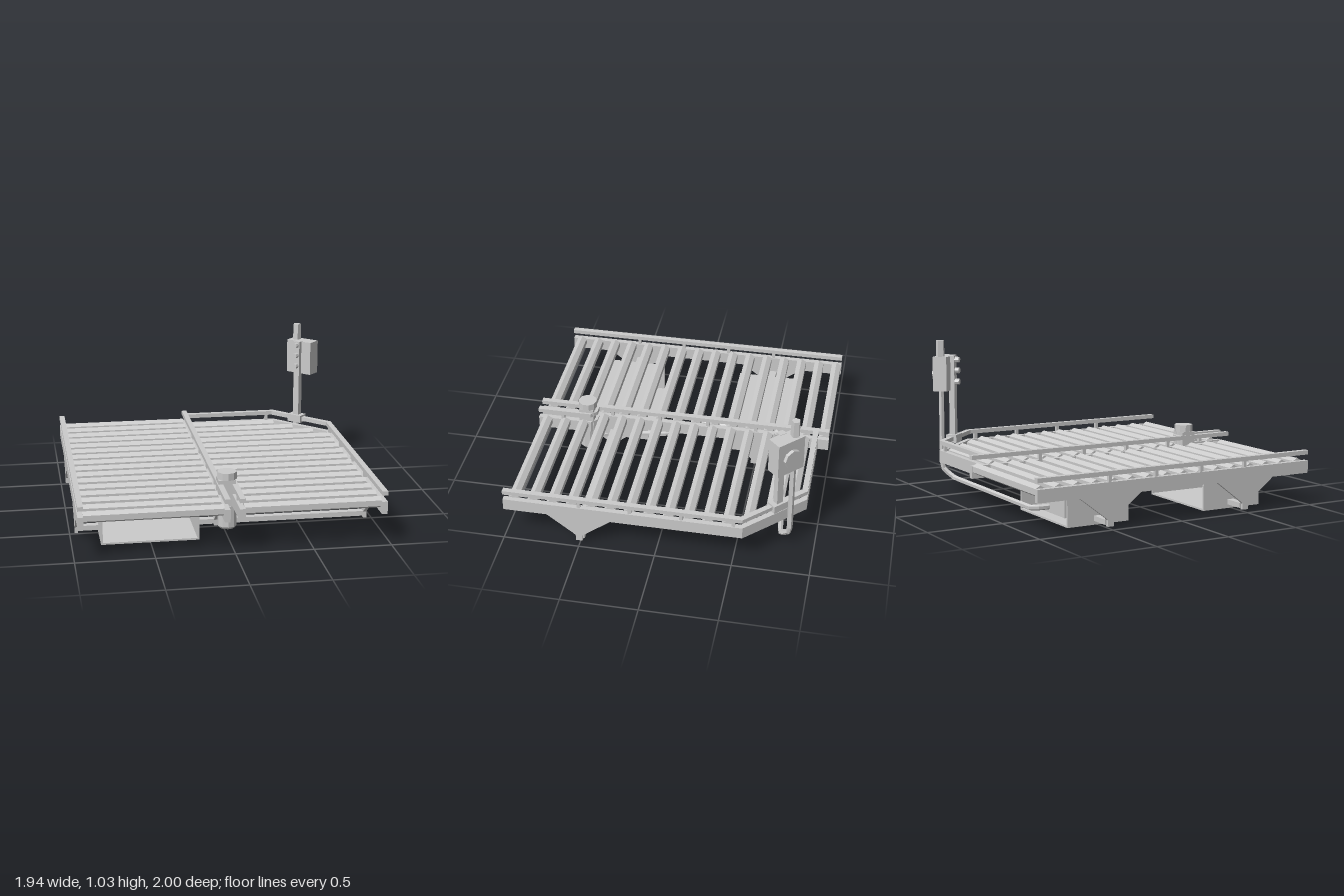
import * as THREE from 'three';

const grey = new THREE.MeshStandardMaterial({ color: 0xcccccc, flatShading: true, side: THREE.DoubleSide });

function add(parent, name, geometry, x = 0, y = 0, z = 0) {
  const mesh = new THREE.Mesh(geometry, grey);
  mesh.name = name;
  mesh.position.set(x, y, z);
  parent.add(mesh);
  return mesh;
}

// Box given by its limits on each axis
function block(parent, name, [x0, x1], [y0, y1], [z0, z1]) {
  return add(parent, name, new THREE.BoxGeometry(x1 - x0, y1 - y0, z1 - z0),
    (x0 + x1) / 2, (y0 + y1) / 2, (z0 + z1) / 2);
}

// Bar of constant width with mitred corners, following [x, z] points
function pathBar(parent, name, points, width, y0, y1) {
  const p = points.map(([x, z]) => new THREE.Vector2(x, -z));
  const left = [], right = [];
  p.forEach((c, i) => {
    const before = i > 0 ? c.clone().sub(p[i - 1]).normalize() : null;
    const after = i < p.length - 1 ? p[i + 1].clone().sub(c).normalize() : null;
    const a = before || after, b = after || before;
    const mitre = new THREE.Vector2(-a.y - b.y, a.x + b.x).normalize();
    const reach = width / 2 / (mitre.x * -a.y + mitre.y * a.x);
    left.push(c.clone().addScaledVector(mitre, reach));
    right.unshift(c.clone().addScaledVector(mitre, -reach));
  });
  const geo = new THREE.ExtrudeGeometry(new THREE.Shape([...left, ...right]),
    { depth: y1 - y0, bevelEnabled: false });
  geo.rotateX(-Math.PI / 2);
  add(parent, name, geo, 0, y0, 0);
}

function cable(parent, name, points, radius) {
  const curve = new THREE.CatmullRomCurve3(points.map(p => new THREE.Vector3(...p)), false, 'catmullrom', 0.1);
  add(parent, name, new THREE.TubeGeometry(curve, 40, radius, 6, false));
}

export function createModel() {
  const model = new THREE.Group();
  model.name = 'rollerPlatform';

  // Frame rails with a raised guide bar above each
  const rails = {
    right: [[-0.957, -1], [-0.957, 1]],
    centre: [[-0.05, -1], [-0.05, 1]],
    left: [[-0.035, -0.91], [0.602, -0.91], [0.948, -0.553], [0.948, 1]],
    inner: [[-0.05, 0.61], [0.015, 0.61], [0.045, 0.64], [0.045, 1]],
  };
  for (const [side, path] of Object.entries(rails)) {
    pathBar(model, side + 'Rail', path, 0.036, 0.21, 0.292);
    pathBar(model, side + 'GuideBar', path, 0.036, 0.332, 0.36);
  }

  // Small posts carrying the guide bars
  const posts = [[0.555, -0.908], [0.045, 0.83]];
  for (const x of [-0.957, -0.05, 0.948]) for (const z of [-0.5, -0.167, 0.167, 0.5]) posts.push([x, z]);
  for (const [x, z] of posts)
    block(model, 'guidePost', [x - 0.011, x + 0.011], [0.28, 0.34], [z - 0.011, z + 0.011]);

  // Hexagonal rollers, shortened by the cut corner and by the drive unit
  const rollers = new THREE.Group();
  rollers.name = 'rollers';
  model.add(rollers);
  function roller(x0, x1, z) {
    const geo = new THREE.CylinderGeometry(0.0375, 0.0375, x1 - x0, 6);
    geo.rotateZ(Math.PI / 2);
    geo.rotateX(Math.PI / 2);
    add(rollers, 'roller', geo, (x0 + x1) / 2, 0.272, z);
  }
  const cutEnds = { 14: 0.595, 13: 0.712, 12: 0.837 };
  for (let i = 0; i < 16; i++) {
    const z = 0.937 - i * 0.1267;
    roller(-0.942, -0.065, z);
    if (i < 15) roller(i < 3 ? 0.06 : -0.035, cutEnds[i] || 0.935, z);
  }

  // Tapered support plates with feet
  const half = [[0.022, 0.015], [0.022, 0.055], [0.035, 0.07], [0.22, 0.212]];
  const outline = [...half, ...half.map(([u, v]) => [-u, v]).reverse()];
  const plate = new THREE.ExtrudeGeometry(new THREE.Shape(outline.map(p => new THREE.Vector2(...p))),
    { depth: 0.022, bevelEnabled: false });
  plate.translate(0, 0, -0.011);
  plate.rotateY(Math.PI / 2);
  for (const [x, z] of [[-0.957, 0.505], [-0.957, -0.495], [-0.05, 0.505], [-0.05, -0.495], [0.948, 0.505]])
    add(model, 'supportPlate', plate, x, 0, z);

  // Cross bars between the support plates
  for (const y of [0.025, 0.14]) {
    for (const z of [0.495, -0.505]) {
      block(model, 'crossBar', [-0.95, -0.812], [y, y + 0.033], [z - 0.023, z + 0.023]);
      block(model, 'crossBar', [-0.19, -0.05], [y, y + 0.033], [z - 0.023, z + 0.023]);
    }
    block(model, 'crossBar', [-0.05, 0.945], [y, y + 0.033], [0.472, 0.518]);
  }

  // Open rectangular sleeves under one half
  const sleeve = new THREE.Shape([[-0.815, 0], [-0.187, 0], [-0.187, 0.217], [-0.815, 0.217]]
    .map(p => new THREE.Vector2(...p)));
  sleeve.holes.push(new THREE.Path([[-0.803, 0.012], [-0.803, 0.205], [-0.199, 0.205], [-0.199, 0.012]]
    .map(p => new THREE.Vector2(...p))));
  const sleeveGeo = new THREE.ExtrudeGeometry(sleeve, { depth: 0.437, bevelEnabled: false });
  for (const z of [0.286, -0.714]) add(model, 'liftingSleeve', sleeveGeo, 0, 0, z);

  // Junction box inside the rear sleeve
  block(model, 'junctionBox', [-0.61, -0.24], [0.012, 0.157], [-0.62, -0.36]);
  block(model, 'junctionLid', [-0.59, -0.27], [0.04, 0.138], [-0.36, -0.345]);

  // Drive unit at the front of the centre rail
  const profile = [[0, 0.055], [0.05, 0.055], [0.062, 0.07], [0.062, 0.21], [0.052, 0.21],
    [0.052, 0.385], [0.063, 0.385], [0.063, 0.432], [0, 0.432]].map(p => new THREE.Vector2(...p));
  add(model, 'driveUnit', new THREE.LatheGeometry(profile, 10), 0, 0, 0.663);
  block(model, 'driveMount', [-0.062, 0.05], [0.21, 0.385], [0.615, 0.715]);

  // Control stand on the cut corner; local +z points outward
  const stand = new THREE.Group();
  stand.name = 'controlStand';
  stand.position.set(0.757, 0, -0.755);
  stand.rotation.y = Math.PI * 0.75;
  model.add(stand);
  block(stand, 'standFoot', [-0.055, 0.055], [0.318, 0.372], [-0.04, 0.035]);
  block(stand, 'standPost', [-0.023, 0.023], [0.36, 0.92], [-0.02, 0.02]);
  block(stand, 'controlBox', [-0.1, 0.1], [0.68, 0.918], [0.008, 0.108]);
  const knob = new THREE.CylinderGeometry(0.062, 0.062, 0.024, 8);
  knob.rotateX(Math.PI / 2);
  add(stand, 'stopKnob', knob, 0, 0.795, 0.118);
  const button = new THREE.CylinderGeometry(0.02, 0.02, 0.035, 8);
  button.rotateX(Math.PI / 2);
  for (const y of [0.74, 0.818, 0.893]) add(stand, 'pushButton', button, 0, y, -0.033);
  add(model, 'signalLamp', new THREE.CylinderGeometry(0.028, 0.032, 0.114, 5), 0.765, 0.973, -0.842);

  // Cables joining the stand and drive unit to the junction box
  cable(model, 'standCable', [[0.765, 0.7, -0.838], [0.765, 0.15, -0.838], [0.7, 0.072, -0.775],
    [0.33, 0.055, -0.742], [-0.38, 0.05, -0.735], [-0.4, 0.05, -0.6]], 0.019);
  cable(model, 'driveCable', [[0, 0.13, 0.66], [-0.09, 0.11, 0.46], [-0.17, 0.088, 0.15],
    [-0.35, 0.082, -0.09], [-0.33, 0.08, -0.37]], 0.019);

  return model;
}
